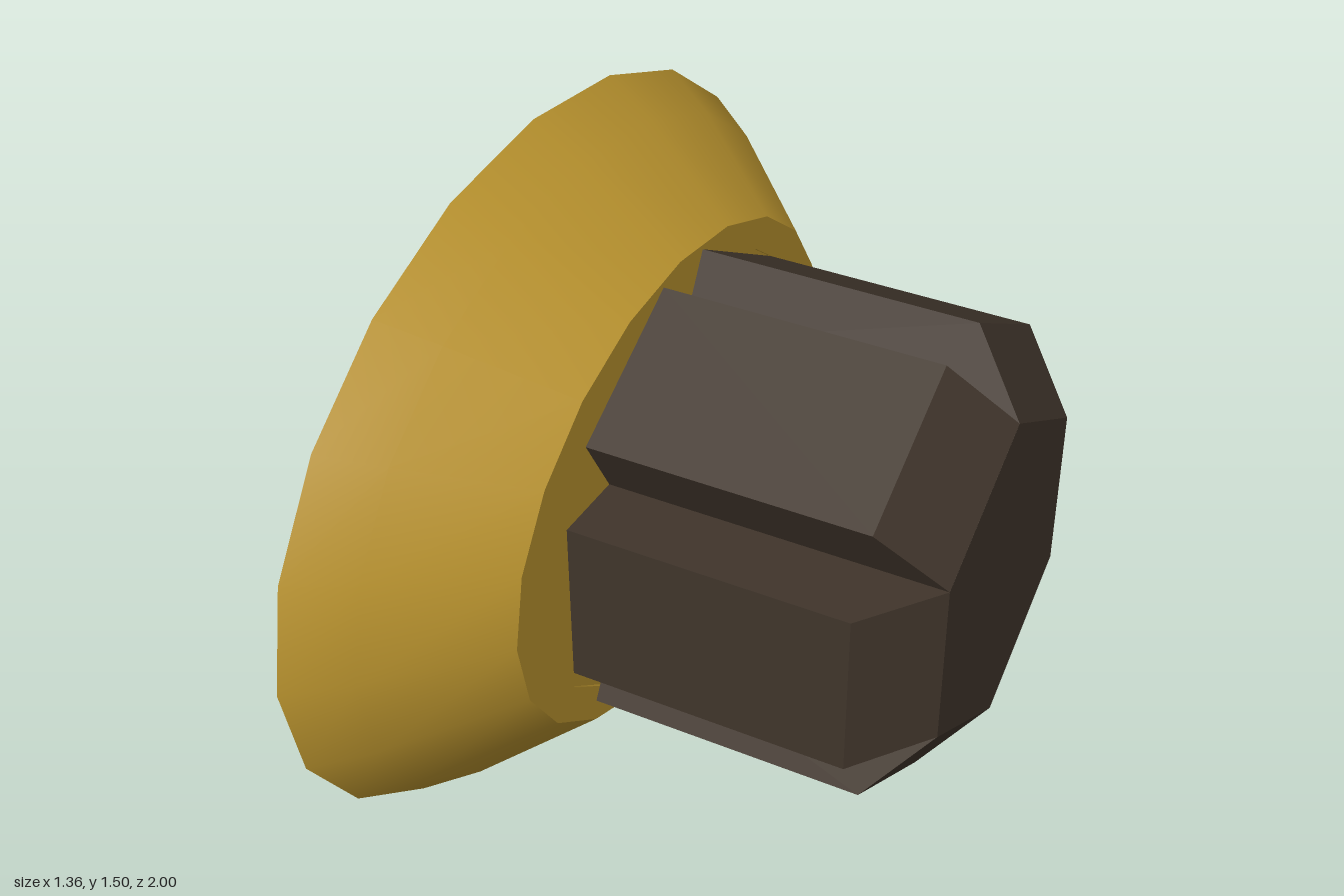
import * as THREE from 'three';
import { toCreasedNormals } from 'three/addons/utils/BufferGeometryUtils.js';

const paint = (color, flatShading = false) =>
  new THREE.MeshStandardMaterial({ color, flatShading });

export function createModel() {
  const model = new THREE.Group();
  const gold = paint(0xb8922e);
  const brown = paint(0x40352b, true);
  const purple = paint(0x4a3d78);
  const grey = paint(0xcccccc);
  const axisY = 0.735;

  const add = (name, geometry, material, parent = model) => {
    const mesh = new THREE.Mesh(geometry, material);
    mesh.name = name;
    parent.add(mesh);
    return mesh;
  };

  // Oval dish: a thick shell opening towards -x, with a closed floor
  const profile = [
    [0, 0.075], [0.59, 0.075], [0.59, 0.067], [0.68, 0.067], [0.908, 0.285],
    [1, 0.4], [0.88, 0.4], [0.81, 0.285], [0.59, 0.083], [0, 0.083],
  ].map(([r, y]) => new THREE.Vector2(r, y));
  let dish = new THREE.LatheGeometry(profile, 20);
  dish.scale(0.75, 1, 1);
  dish.rotateZ(Math.PI / 2);
  dish.translate(0, 0.755, 0);
  dish = toCreasedNormals(dish, 0.6);
  add('dish', dish, gold);

  // Hexagonal body core along x
  const body = new THREE.Group();
  body.name = 'body';
  body.position.y = axisY;
  model.add(body);
  const core = new THREE.CylinderGeometry(0.372, 0.372, 0.735, 6);
  core.rotateY(Math.PI / 2);
  core.rotateZ(-Math.PI / 2);
  // point a corner of the hexagon straight up
  const pos = core.attributes.position;
  let top = -1;
  for (let i = 0; i < pos.count; i++) top = Math.max(top, pos.getY(i));
  if (top < 0.36) core.rotateX(Math.PI / 6);
  core.translate(0.3075, 0, 0);
  add('bodyCore', core, brown, body);

  // Six chamfered ribs, one on each side of the core
  const ribShape = new THREE.Shape([
    new THREE.Vector2(-0.06, 0.3), new THREE.Vector2(0.675, 0.3),
    new THREE.Vector2(0.675, 0.322), new THREE.Vector2(0.547, 0.49),
    new THREE.Vector2(-0.06, 0.49),
  ]);
  const ribGeometry = new THREE.ExtrudeGeometry(ribShape, { depth: 0.372, bevelEnabled: false });
  ribGeometry.translate(0, 0, -0.186);
  for (let i = 0; i < 6; i++) {
    const rib = add('bodyRib', ribGeometry, brown, body);
    rib.rotation.x = Math.PI / 6 + (i * Math.PI) / 3;
  }

  // Stepped connector on the back rib: [name, x0, x1, height, z depth end]
  const connector = new THREE.Group();
  connector.name = 'connector';
  model.add(connector);
  for (const [name, x0, x1, height, zEnd] of [
    ['connectorBase', 0.11, 0.45, 0.18, -0.56],
    ['connectorEnd', 0.11, 0.175, 0.18, -0.6],
    ['connectorEnd', 0.38, 0.45, 0.18, -0.6],
    ['connectorBlock', 0.2, 0.36, 0.145, -0.636],
  ]) {
    const depth = -0.48 - zEnd;
    const block = add(name, new THREE.BoxGeometry(x1 - x0, height, depth), purple, connector);
    block.position.set((x0 + x1) / 2, axisY, zEnd + depth / 2);
  }

  // Tapered antenna rod and its two rings
  const rod = add('antennaRod', new THREE.CylinderGeometry(0.024, 0.04, 0.62, 16), purple);
  rod.rotation.z = Math.PI / 2;
  rod.position.set(-0.37, axisY, 0);
  for (const [name, x, radius, tube] of [
    ['largeRing', -0.465, 0.262, 0.009],
    ['smallRing', -0.585, 0.128, 0.004],
  ]) {
    const ring = add(name, new THREE.TorusGeometry(radius, tube, 10, 32), grey);
    ring.rotation.y = Math.PI / 2;
    ring.position.set(x, axisY, 0);
  }

  return model;
}
